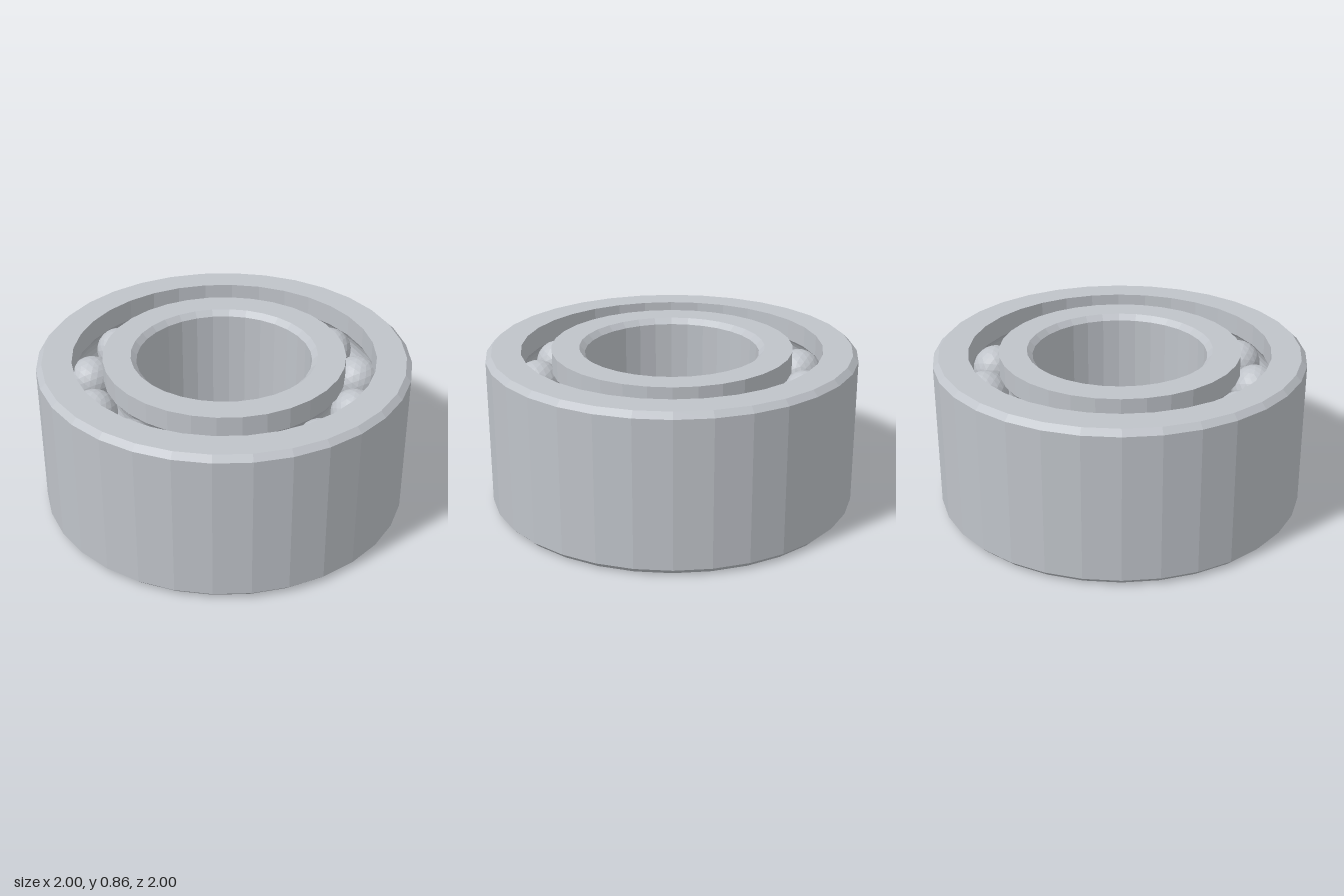
import * as THREE from 'three';

const HEIGHT = 0.855, BALLS = 13, PITCH = 0.73, BALL_R = 0.125, GROOVE_R = 0.127, SIDES = 32;
const ROWS = [HEIGHT / 4, HEIGHT * 3 / 4];
const CHAMFER = 0.03;

const steel = new THREE.MeshStandardMaterial({ color: 0xbfc3c9, flatShading: true });
steel.name = 'steel';

// Arc points of both ball grooves, bottom to top, cut into a wall of radius r
function grooves(r) {
  const side = Math.sign(r - PITCH);
  const half = Math.acos(Math.abs(r - PITCH) / GROOVE_R);
  const steps = 8, points = [];
  for (const y of ROWS) {
    for (let i = 0; i <= steps; i++) {
      const a = -half + (2 * half * i) / steps;
      points.push([PITCH + side * GROOVE_R * Math.cos(a), y + GROOVE_R * Math.sin(a)]);
    }
  }
  return points;
}

// Closed ring from a counterclockwise (radius, height) profile
function ring(name, profile) {
  const points = [...profile, profile[0]].map(([r, y]) => new THREE.Vector2(r, y));
  const mesh = new THREE.Mesh(new THREE.LatheGeometry(points, SIDES), steel);
  mesh.name = name;
  return mesh;
}

export function createModel() {
  const model = new THREE.Group();
  model.name = 'ballBearing';

  // Outer ring: chamfered outside, grooved inside
  const outerWall = 0.812;
  model.add(ring('outerRing', [
    [1 - CHAMFER, 0], [1, CHAMFER], [1, HEIGHT - CHAMFER], [1 - CHAMFER, HEIGHT],
    [outerWall, HEIGHT], ...grooves(outerWall).reverse(), [outerWall, 0],
  ]));

  // Inner ring: grooved outside, chamfered bore
  const innerWall = 0.65, bore = 0.47;
  model.add(ring('innerRing', [
    [innerWall, 0], ...grooves(innerWall), [innerWall, HEIGHT],
    [bore + CHAMFER, HEIGHT], [bore, HEIGHT - CHAMFER], [bore, CHAMFER], [bore + CHAMFER, 0],
  ]));

  // Two rows of balls
  const ballGeometry = new THREE.IcosahedronGeometry(BALL_R, 3);
  ROWS.forEach((y, row) => {
    const group = new THREE.Group();
    group.name = row ? 'upperBallRow' : 'lowerBallRow';
    for (let i = 0; i < BALLS; i++) {
      const a = (i / BALLS) * Math.PI * 2;
      const ball = new THREE.Mesh(ballGeometry, steel);
      ball.name = 'ball';
      ball.position.set(PITCH * Math.cos(a), y, PITCH * Math.sin(a));
      group.add(ball);
    }
    model.add(group);
  });
  return model;
}
